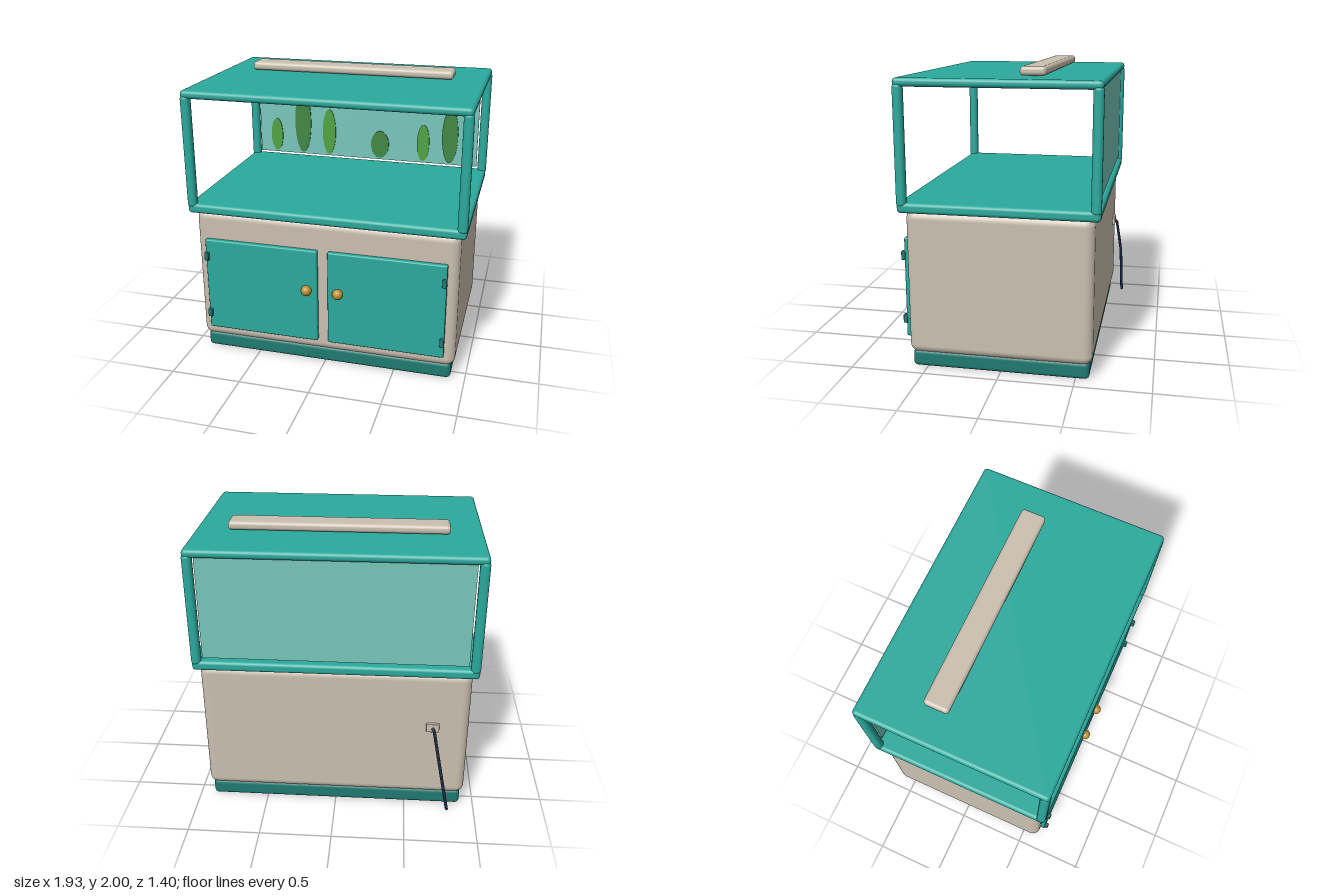
import * as THREE from 'three';
import { RoundedBoxGeometry } from 'three/addons/geometries/RoundedBoxGeometry.js';

const paint = (name, color) => {
  const m = new THREE.MeshStandardMaterial({ color });
  m.name = name;
  return m;
};

export function createModel() {
  const root = new THREE.Group();
  root.name = 'aquariumCabinet';
  root.position.z = 0.005;

  const teal = paint('teal', 0x2ba99d);
  const darkTeal = paint('darkTeal', 0x1f7a72);
  const cream = paint('cream', 0xcac0b0);
  const glass = paint('paleGlass', 0x78c6bb);
  const leafLight = paint('lightLeaf', 0x4fa341);
  const leafDark = paint('darkLeaf', 0x3f8744);
  const brass = paint('brass', 0xbf902f);
  const navy = paint('navy', 0x1f2a44);

  const add = (name, geometry, material, x, y, z) => {
    const mesh = new THREE.Mesh(geometry, material);
    mesh.name = name;
    mesh.position.set(x, y, z);
    root.add(mesh);
    return mesh;
  };
  // Rounded box given by its size, edge radius and centre
  const box = (name, material, [w, h, d], r, [x, y, z]) =>
    add(name, new RoundedBoxGeometry(w, h, d, 4, r), material, x, y, z);

  // Cabinet
  box('plinth', darkTeal, [1.8, 0.12, 1.19], 0.03, [0, 0.06, 0]);
  box('cabinetBody', cream, [1.85, 0.985, 1.23], 0.06, [0, 0.595, 0]);

  // Doors with knobs and hinges, mirrored
  for (const s of [-1, 1]) {
    const side = s > 0 ? 'left' : 'right';
    box(side + 'Door', teal, [0.815, 0.69, 0.04], 0.01, [s * 0.445, 0.538, 0.628]);
    add(side + 'Knob', new THREE.SphereGeometry(0.037, 24, 16), brass, s * 0.112, 0.585, 0.657);
    for (const y of [0.315, 0.76])
      box(side + 'Hinge', darkTeal, [0.03, 0.06, 0.03], 0.005, [s * 0.84, y, 0.655]);
  }

  // Tank floor, lid and corner posts
  box('tankFloor', teal, [1.925, 0.07, 1.308], 0.025, [0, 1.11, 0]);
  box('tankLid', teal, [1.925, 0.056, 1.308], 0.025, [0, 1.908, 0]);
  for (const x of [-0.933, 0.933])
    for (const z of [-0.624, 0.624])
      box('cornerPost', teal, [0.066, 0.79, 0.066], 0.028, [x, 1.509, z]);

  // Back pane
  add('backPane', new THREE.BoxGeometry(1.78, 0.72, 0.016), glass, 0, 1.525, -0.622);

  // Flat oval plants in front of the pane: x, height, half width, colour
  const plants = [
    [-0.745, 0.27, 0.049, leafLight], [-0.52, 0.515, 0.067, leafDark],
    [-0.3, 0.37, 0.054, leafLight], [0.12, 0.22, 0.072, leafDark],
    [0.467, 0.295, 0.049, leafLight], [0.677, 0.44, 0.062, leafDark],
  ];
  for (const [x, h, r, material] of plants) {
    const leaf = new THREE.CylinderGeometry(1, 1, 0.008, 40).rotateX(Math.PI / 2);
    add('plant', leaf.scale(r, h / 2, 1), material, x, 1.18 + h / 2, -0.606);
  }

  // Lamp on the lid
  box('lamp', cream, [1.475, 0.06, 0.17], 0.025, [0, 1.97, -0.19]);

  // Socket and hanging cable at the back
  box('socket', cream, [0.09, 0.065, 0.024], 0.004, [-0.675, 0.672, -0.622]);
  const points = [[-0.675, 0.67, -0.63], [-0.685, 0.66, -0.645], [-0.735, 0.4, -0.682], [-0.805, 0.03, -0.694]]
    .map(p => new THREE.Vector3(...p));
  const path = new THREE.CurvePath();
  for (let i = 0; i < points.length - 1; i++) path.add(new THREE.LineCurve3(points[i], points[i + 1]));
  add('cable', new THREE.TubeGeometry(path, 24, 0.011, 8), navy, 0, 0, 0);
  const cap = new THREE.SphereGeometry(0.011, 8, 6);
  add('cableTip', cap, navy, -0.805, 0.03, -0.694);

  return root;
}
